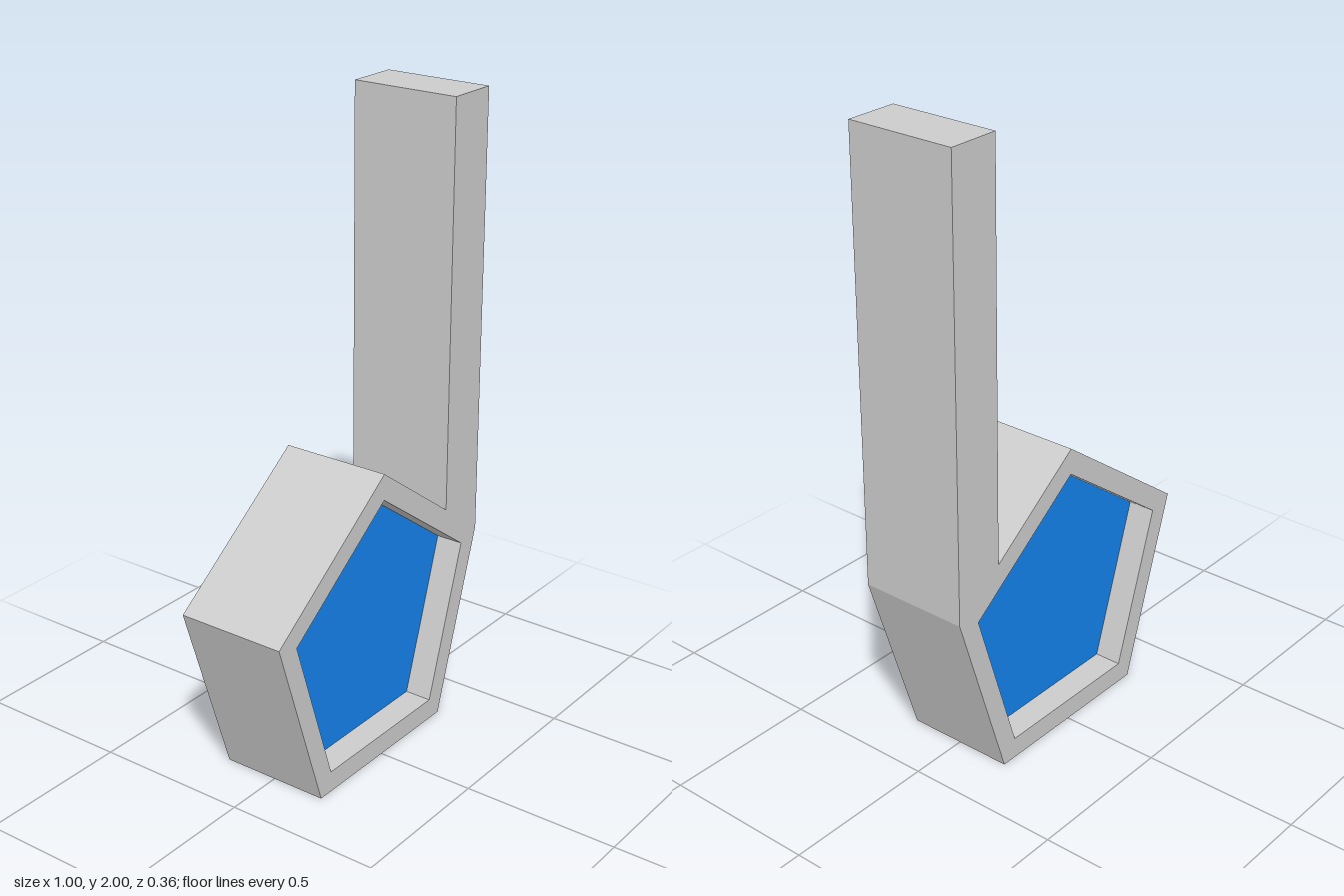
import * as THREE from 'three';

const DEPTH = 0.356, PANEL_DEPTH = 0.18;
const CENTER_Y = 0.4255, OUTER_R = 0.526, INNER_R = 0.442;
const POST_X = 0.33, TOP_Y = 2;

// Pentagon corners, counter-clockwise from the top point
function pentagon(radius) {
  return Array.from({ length: 5 }, (_, i) => {
    const a = Math.PI / 2 + (i * 2 * Math.PI) / 5;
    return new THREE.Vector2(radius * Math.cos(a), CENTER_Y + radius * Math.sin(a));
  });
}

// Straight extrusion centred on z = 0
function extrude(name, shape, depth, color) {
  const geometry = new THREE.ExtrudeGeometry(shape, { depth, bevelEnabled: false });
  geometry.translate(0, 0, -depth / 2);
  const mesh = new THREE.Mesh(geometry, new THREE.MeshStandardMaterial({ color }));
  mesh.name = name;
  return mesh;
}

export function createModel() {
  const group = new THREE.Group();
  group.name = 'pentagonWithPost';

  // Pentagonal frame and upright post share one continuous outline
  const [top, left, bottomLeft, bottomRight, right] = pentagon(OUTER_R);
  const notchY = top.y + (right.y - top.y) * (POST_X / right.x);
  const outline = new THREE.Shape([
    top, left, bottomLeft, bottomRight, right,
    new THREE.Vector2(right.x, TOP_Y),
    new THREE.Vector2(POST_X, TOP_Y),
    new THREE.Vector2(POST_X, notchY),
  ]);
  outline.holes.push(new THREE.Path(pentagon(INNER_R)));
  group.add(extrude('frameAndPost', outline, DEPTH, 0xcccccc));

  // Blue panel, recessed equally at front and back
  group.add(extrude('panel', new THREE.Shape(pentagon(INNER_R)), PANEL_DEPTH, 0x1482eb));

  return group;
}
